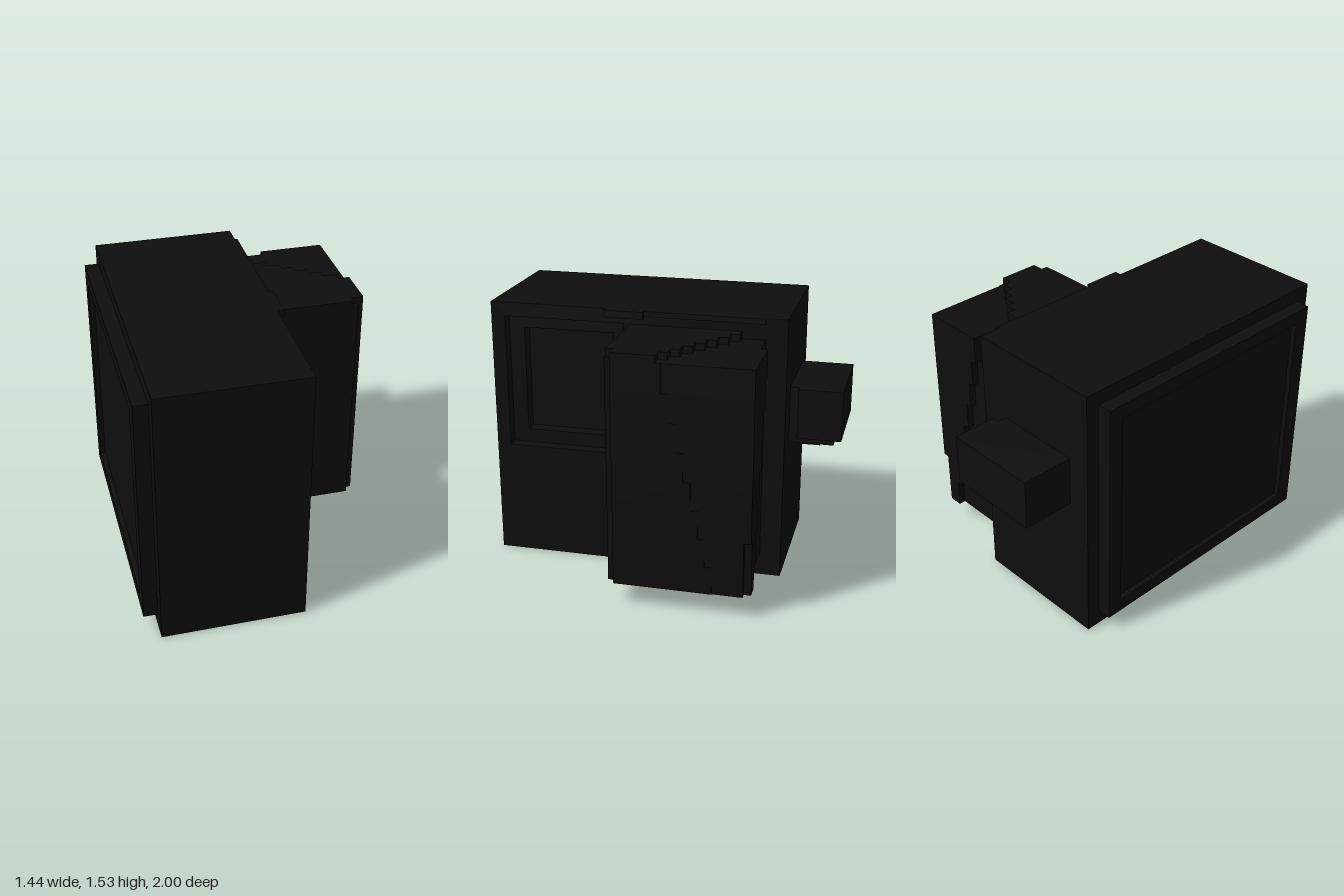
import * as THREE from 'three';

const dark = new THREE.MeshStandardMaterial({ color: 0x0e0e0e, flatShading: true });

// Box given by its lower and upper corners
function block(parent, name, [x0, y0, z0], [x1, y1, z1]) {
  const mesh = new THREE.Mesh(new THREE.BoxGeometry(x1 - x0, y1 - y0, z1 - z0), dark);
  mesh.position.set((x0 + x1) / 2, (y0 + y1) / 2, (z0 + z1) / 2);
  mesh.name = name;
  parent.add(mesh);
}

function rectangle(target, z0, z1, y0, y1) {
  target.moveTo(-z1, y0);
  target.lineTo(-z0, y0);
  target.lineTo(-z0, y1);
  target.lineTo(-z1, y1);
  target.closePath();
  return target;
}

// Rectangular frame in the z-y plane, running from x0 to x1
function frame(parent, name, x0, x1, outer, inner) {
  const shape = rectangle(new THREE.Shape(), ...outer);
  shape.holes.push(rectangle(new THREE.Path(), ...inner));
  const geo = new THREE.ExtrudeGeometry(shape, { depth: x1 - x0, bevelEnabled: false });
  geo.rotateY(Math.PI / 2);
  geo.translate(x0, 0, 0);
  const mesh = new THREE.Mesh(geo, dark);
  mesh.name = name;
  parent.add(mesh);
}

export function createModel() {
  const model = new THREE.Group();
  model.name = 'blockyCabinet';

  // Main body with a stepped window pocket in its +x side
  block(model, 'bodyCore', [-0.64, 0, -0.7], [0.02, 1.53, 1]);
  frame(model, 'windowSurround', 0.02, 0.17, [-0.7, 1, 0, 1.53], [0.22, 0.92, 0.67, 1.45]);
  frame(model, 'windowStep', 0.02, 0.1, [0.22, 0.92, 0.67, 1.45], [0.3, 0.83, 0.75, 1.37]);

  // Raised rim and sunken panel on the -x side
  frame(model, 'sideRim', -0.72, -0.64, [-0.62, 0.915, 0.09, 1.45], [-0.53, 0.82, 0.17, 1.37]);
  block(model, 'sidePanel', [-0.69, 0.17, -0.53], [-0.64, 1.37, 0.82]);

  // Ledge over the window
  block(model, 'topLedge', [0.17, 1.49, 0.1], [0.21, 1.53, 0.32]);
  block(model, 'topLedgeThin', [0.17, 1.5, -0.58], [0.185, 1.53, 0.1]);

  // Compartment on the +x side
  const pod = new THREE.Group();
  pod.name = 'sideCompartment';
  model.add(pod);
  block(pod, 'compartmentCore', [0.17, 0.13, -0.58], [0.68, 1.41, 0.18]);

  // Layered plating with stepped diagonal edges
  const rows = 8;
  for (let i = 0; i < rows; i++) {
    const t = i / (rows - 1);
    const y0 = 0.13 + (1.28 * i) / rows;
    const y1 = 0.13 + (1.28 * (i + 1)) / rows;
    const seam = -0.41 + 0.28 * t;
    const corner = i < 2;
    block(pod, 'frontSidePlate', [0.68, y0, seam], [0.72, y1, 0.14]);
    block(pod, 'rearSidePlate', [0.68, y0, corner ? -0.58 : -0.62], [0.715, y1, seam]);
    block(pod, 'backPlate', [0.6 - 0.26 * t, y0, -0.62], [0.68, y1, -0.58]);

    const x0 = 0.17 + (0.55 * i) / rows;
    const x1 = 0.17 + (0.55 * (i + 1)) / rows;
    block(pod, 'topPlate', [x0, 1.41, -0.45 + 0.35 * t], [x1, 1.45, i === rows - 1 ? 0.14 : 0.18]);
  }

  // Box on the back with a stepped underside
  const rear = new THREE.Group();
  rear.name = 'rearBox';
  model.add(rear);
  block(rear, 'rearBoxBody', [-0.51, 0.81, -1], [0, 1.1, -0.7]);
  block(rear, 'rearBoxSide', [0, 0.81, -1], [0.04, 1.1, -0.75]);
  block(rear, 'rearBoxBase', [-0.47, 0.77, -0.955], [0, 0.81, -0.7]);
  block(rear, 'rearBoxTab', [-0.38, 0.73, -0.87], [-0.09, 0.77, -0.745]);

  return model;
}
